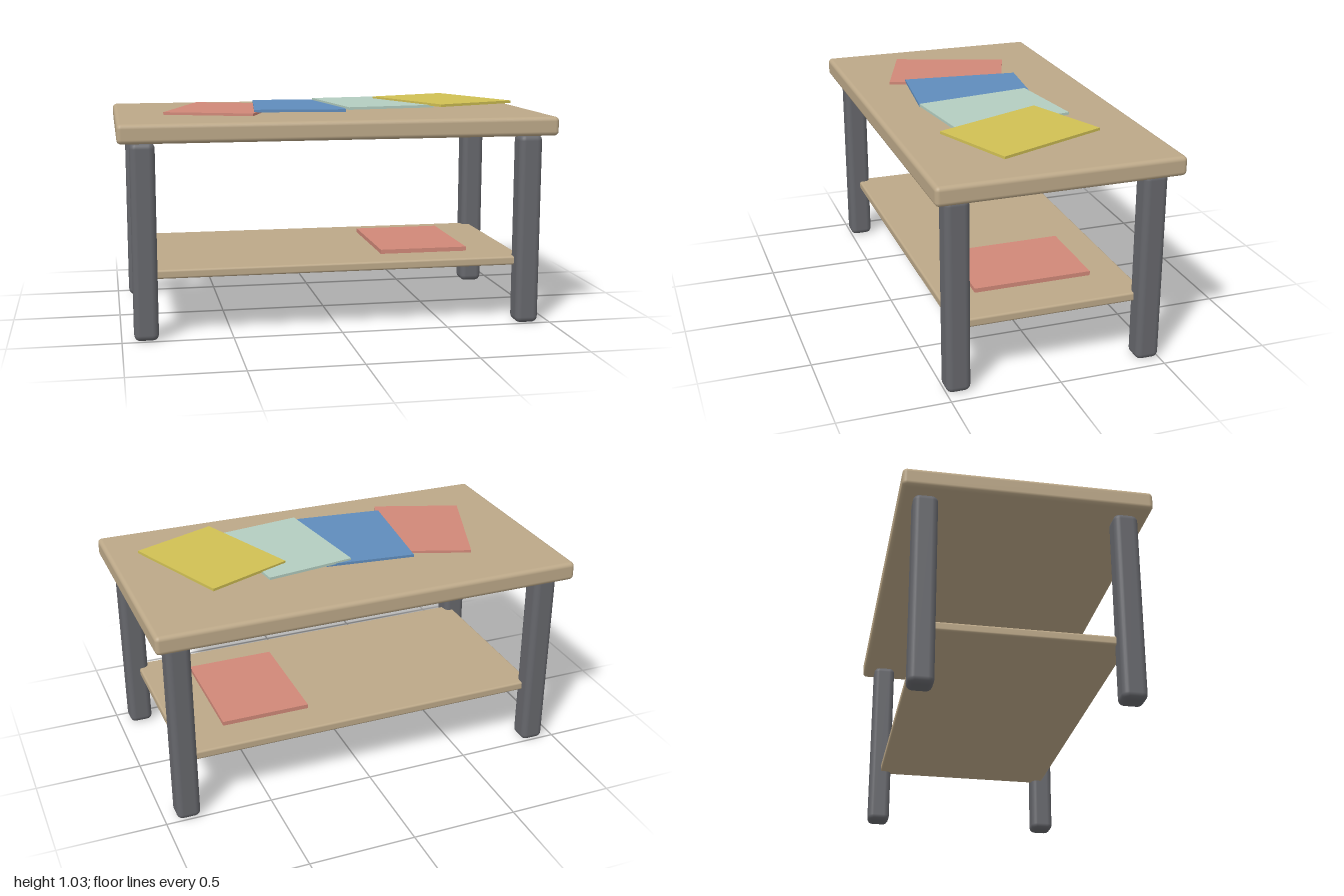
import * as THREE from 'three';
import { RoundedBoxGeometry } from 'three/addons/geometries/RoundedBoxGeometry.js';

const material = (color) => new THREE.MeshStandardMaterial({ color });

// Rounded slab or post standing between heights y0 and y1
function roundedPart(name, width, depth, y0, y1, radius, mat) {
  const mesh = new THREE.Mesh(new RoundedBoxGeometry(width, y1 - y0, depth, 3, radius), mat);
  mesh.position.y = (y0 + y1) / 2;
  mesh.name = name;
  return mesh;
}

// Thin magazine lying flat, turned about the vertical axis
function magazine(name, x, z, y0, thickness, degrees, color) {
  const mesh = new THREE.Mesh(new THREE.BoxGeometry(0.42, thickness, 0.555), material(color));
  mesh.position.set(x, y0 + thickness / 2, z);
  mesh.rotation.y = THREE.MathUtils.degToRad(degrees);
  mesh.name = name;
  return mesh;
}

export function createModel() {
  const group = new THREE.Group();
  group.name = 'coffeeTable';
  const wood = material(0xbca888);
  const metal = material(0x66676c);

  // Top and lower shelf
  group.add(roundedPart('tableTop', 2, 1.11, 0.893, 0.98, 0.02, wood));
  group.add(roundedPart('shelf', 1.76, 0.89, 0.272, 0.313, 0.01, wood));

  // Four legs
  for (const [side, sx] of [['Left', 1], ['Right', -1]]) {
    for (const [end, sz] of [['front', 1], ['back', -1]]) {
      const leg = roundedPart(`${end}${side}Leg`, 0.11, 0.11, 0, 0.893, 0.028, metal);
      leg.position.x = sx * 0.89;
      leg.position.z = sz * 0.445;
      group.add(leg);
    }
  }

  // Fan of overlapping magazines on the top
  group.add(magazine('redMagazine', -0.49, 0.042, 0.99, 0.012, -20, 0xd08878));
  group.add(magazine('blueMagazine', -0.134, 0.045, 1.0, 0.012, -6.3, 0x5f8cbc));
  group.add(magazine('greenMagazine', 0.228, 0.044, 1.009, 0.012, 8, 0xb3cdc0));
  group.add(magazine('yellowMagazine', 0.577, 0.043, 1.018, 0.012, 22, 0xd0c054));

  // Magazine on the shelf
  group.add(magazine('shelfMagazine', 0.44, 0, 0.312, 0.021, 0, 0xd08878));

  return group;
}
